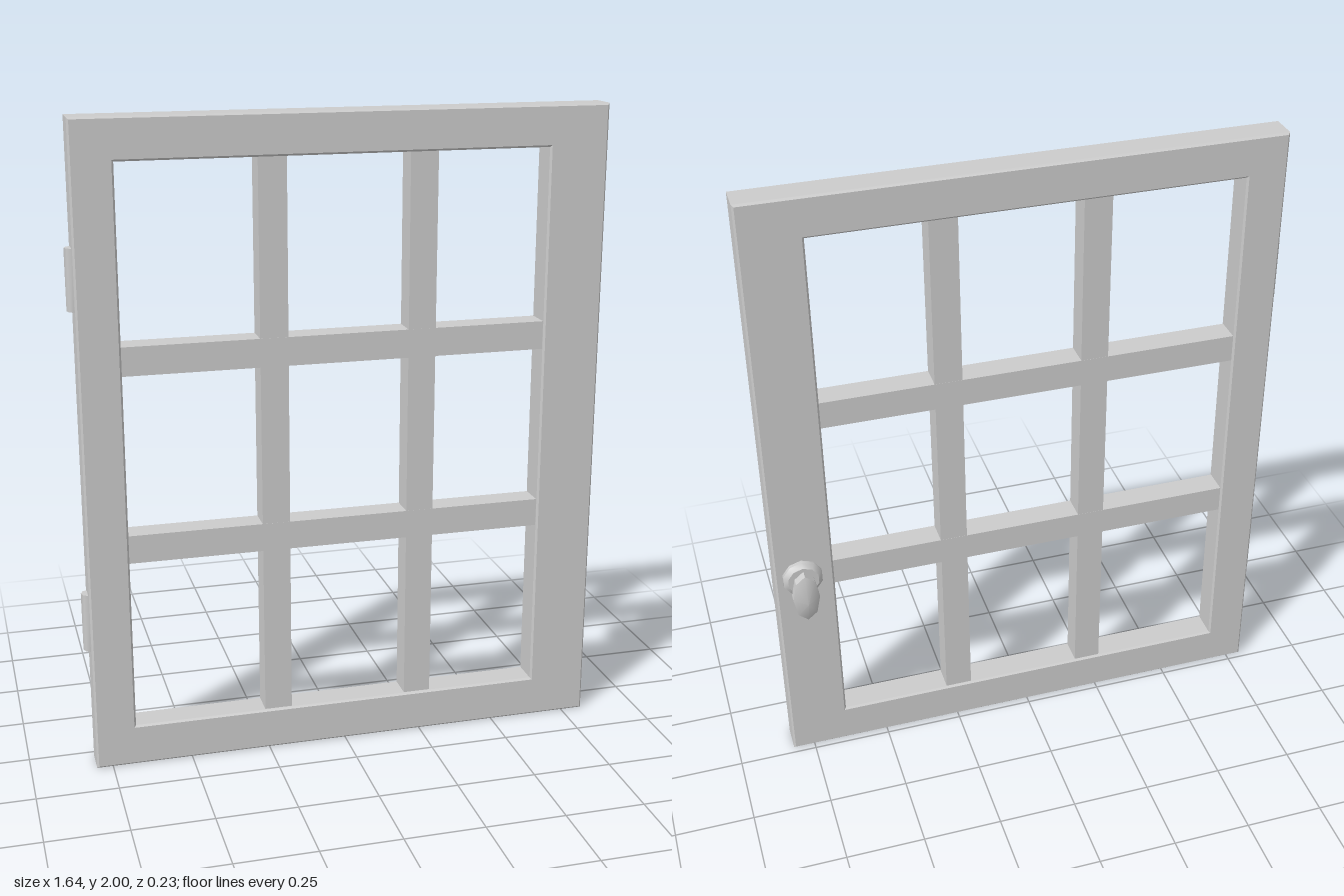
import * as THREE from 'three';
import { toCreasedNormals } from 'three/addons/utils/BufferGeometryUtils.js';

const material = new THREE.MeshStandardMaterial({ color: 0xcccccc });

function add(parent, name, geometry, x = 0, y = 0, z = 0) {
  const mesh = new THREE.Mesh(geometry, material);
  mesh.name = name;
  mesh.position.set(x, y, z);
  parent.add(mesh);
  return mesh;
}

// Moves a rectangle's corners onto a path, inset by a margin
function rectangle(path, x0, y0, x1, y1) {
  path.moveTo(x0, y0);
  path.lineTo(x1, y0);
  path.lineTo(x1, y1);
  path.lineTo(x0, y1);
  path.closePath();
  return path;
}

export function createModel() {
  const model = new THREE.Group();
  model.name = 'window';

  // Outer frame with a wide latch stile and a slim chamfer
  const b = 0.006;
  const outline = rectangle(new THREE.Shape(), -0.8 + b, b, 0.82 - b, 2 - b);
  outline.holes.push(rectangle(new THREE.Path(), -0.68, 0.125, 0.64, 1.88));
  const frame = new THREE.ExtrudeGeometry(outline, {
    depth: 0.096 - 2 * b, bevelEnabled: true, bevelSize: b, bevelThickness: b, bevelSegments: 1,
  });
  add(model, 'frame', frame, 0, 0, 0.018 + b);

  // Glazing bars, almost flush with the frame
  for (const x of [-0.218, 0.242]) {
    add(model, 'verticalBar', new THREE.BoxGeometry(0.086, 1.78, 0.08), x, 1.0025, 0.065);
  }
  for (const y of [0.712, 1.295]) {
    add(model, 'horizontalBar', new THREE.BoxGeometry(1.34, 0.088, 0.081), -0.02, y, 0.065);
  }

  // Hinge barrels let into the hinge stile
  for (const y of [0.478, 1.538]) {
    add(model, 'hinge', toCreasedNormals(new THREE.CylinderGeometry(0.025, 0.025, 0.185, 8), 0.8), -0.795, y, 0.065);
  }

  // Turn knob on the back: rose, stem and oval grip
  const knob = new THREE.Group();
  knob.name = 'knob';
  knob.position.set(0.734, 0.72, 0.02);
  knob.rotation.x = -Math.PI / 2;
  model.add(knob);
  const turned = (points, sides) => toCreasedNormals(
    new THREE.LatheGeometry(points.map(([r, h]) => new THREE.Vector2(r, h)), sides), 0.7);
  add(knob, 'rose', turned([[0, -0.005], [0.064, -0.005], [0.064, 0.014], [0.05, 0.027], [0, 0.027]], 10));
  add(knob, 'stem', new THREE.CylinderGeometry(0.02, 0.02, 0.07, 8), 0, 0.045, 0);
  const grip = add(knob, 'grip',
    turned([[0, 0], [0.055, 0], [0.09, 0.02], [0.09, 0.045], [0, 0.076]], 8), 0.006, 0.062, 0);
  grip.scale.x = 0.46;
  grip.rotation.x = -0.08;

  return model;
}
